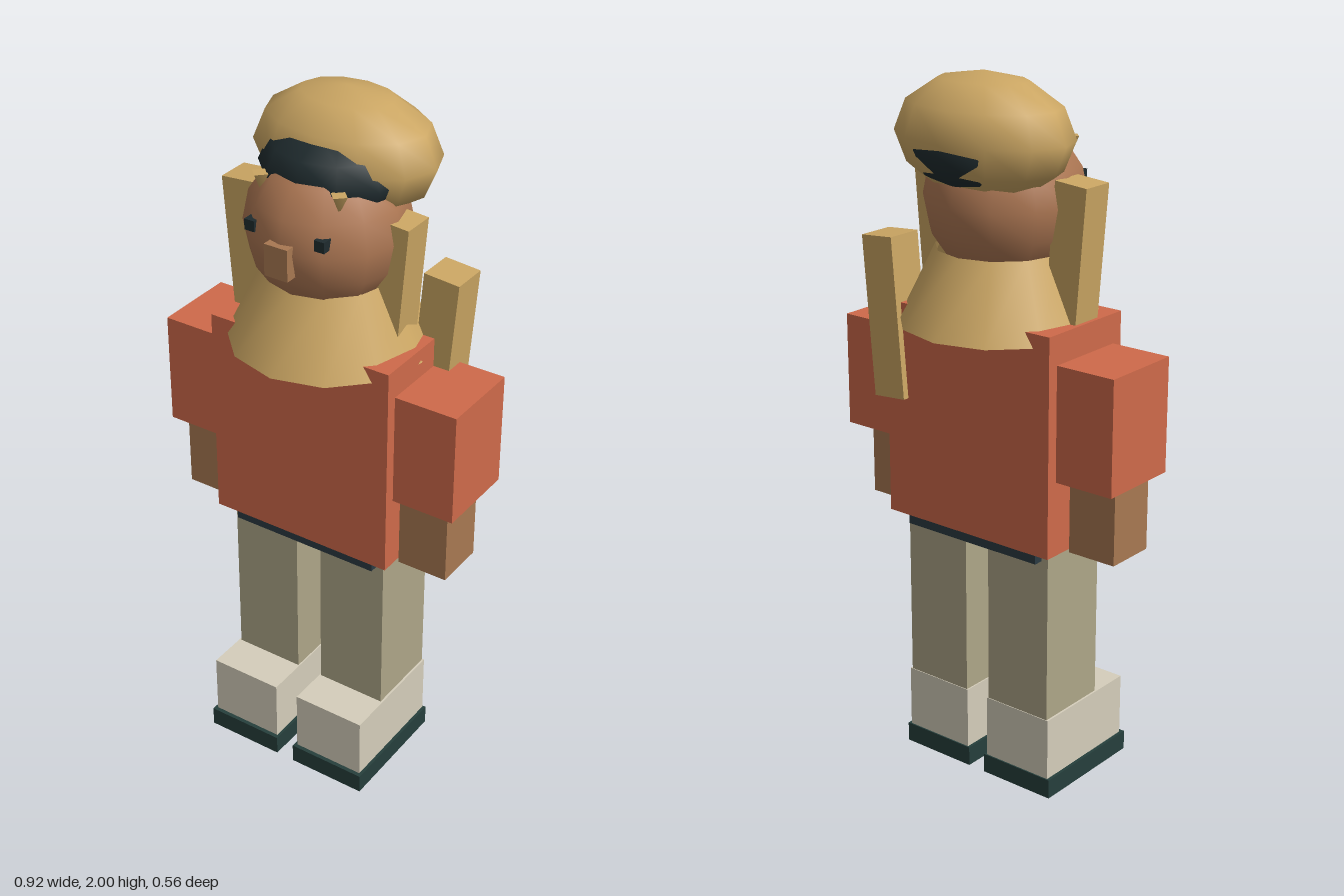
import * as THREE from 'three';

const mat = (color, side = THREE.FrontSide) => new THREE.MeshStandardMaterial({ color, side });
const coral = mat(0xcf6a4a), skin = mat(0xa87852), headSkin = mat(0xad7753), tan = mat(0xcba663);
const khaki = mat(0xaea688), cream = mat(0xd5cebb), dark = mat(0x263f3c), navy = mat(0x2b3a42), black = mat(0x1f2b2e);

export function createModel() {
  const model = new THREE.Group();

  const add = (name, geometry, material, x, y, z) => {
    const mesh = new THREE.Mesh(geometry, material);
    mesh.name = name;
    mesh.position.set(x, y, z);
    model.add(mesh);
    return mesh;
  };

  // Box given by its extents on each axis
  const box = (name, material, [x0, x1], [y0, y1], [z0, z1]) =>
    add(name, new THREE.BoxGeometry(x1 - x0, y1 - y0, z1 - z0), material,
      (x0 + x1) / 2, (y0 + y1) / 2, (z0 + z1) / 2);

  // Low-poly ellipsoid with smooth normals
  const ellipsoid = (name, material, center, radii, rows = 6) => {
    const mesh = add(name, new THREE.SphereGeometry(1, 12, rows), material, ...center);
    mesh.scale.set(...radii);
    return mesh;
  };

  // Torso and waist
  box('torso', coral, [-0.28, 0.277], [0.75, 1.365], [-0.155, 0.155]);
  box('belt', navy, [-0.225, 0.225], [0.715, 0.76], [-0.137, 0.14]);

  // Mirrored limbs
  for (const [side, s] of [['left', 1], ['right', -1]]) {
    const span = (a, b) => (s > 0 ? [a, b] : [-b, -a]);
    box(side + 'Sleeve', coral, span(0.277, 0.459), [0.96, 1.282], [-0.122, 0.122]);
    box(side + 'Forearm', skin, span(0.28, 0.427), [0.74, 0.97], [-0.06, 0.09]);
    box(side + 'Leg', khaki, span(0.04, 0.247), [0.23, 0.75], [-0.11, 0.115]);
    box(side + 'Boot', cream, span(0.036, 0.253), [0.05, 0.24], [-0.112, 0.233]);
    box(side + 'Sole', dark, span(0.028, 0.262), [0, 0.057], [-0.116, 0.245]);
    box(side + 'Eye', black, span(0.09, 0.12), [1.685, 1.715], [0.17, 0.211]);

    // Small lock of hair pointing down on the forehead
    const lock = add(side + 'ForeheadLock', new THREE.ConeGeometry(0.025, 0.05, 4), tan, s * 0.118, 1.79, 0.142);
    lock.rotation.x = Math.PI;
  }

  // Head and face
  ellipsoid('head', headSkin, [0, 1.66, 0.013], [0.22, 0.22, 0.222], 8);
  box('nose', skin, [-0.035, 0.035], [1.597, 1.685], [0.18, 0.247]);

  // Flared open collar
  add('collar', new THREE.CylinderGeometry(0.18, 0.28, 0.205, 12, 1, true),
    mat(0xcba663, THREE.DoubleSide), 0, 1.4275, 0);

  // Hair cap over a dark headband
  ellipsoid('hairCap', tan, [0, 1.835, -0.073], [0.265, 0.165, 0.182]);
  ellipsoid('headband', black, [0, 1.805, -0.045], [0.212, 0.13, 0.212]);

  // Hanging hair strands, leaning outward at the top
  const strand = (name, size, position, tilt) => {
    add(name, new THREE.BoxGeometry(...size), tan, ...position).rotation.z = tilt;
  };
  strand('leftStrand', [0.1, 0.36, 0.095], [0.191, 1.537, -0.008], -0.08);
  strand('rightStrand', [0.1, 0.4, 0.096], [-0.232, 1.532, 0.017], 0.08);
  strand('backStrand', [0.105, 0.45, 0.107], [0.274, 1.317, -0.12], -0.08);

  return model;
}
